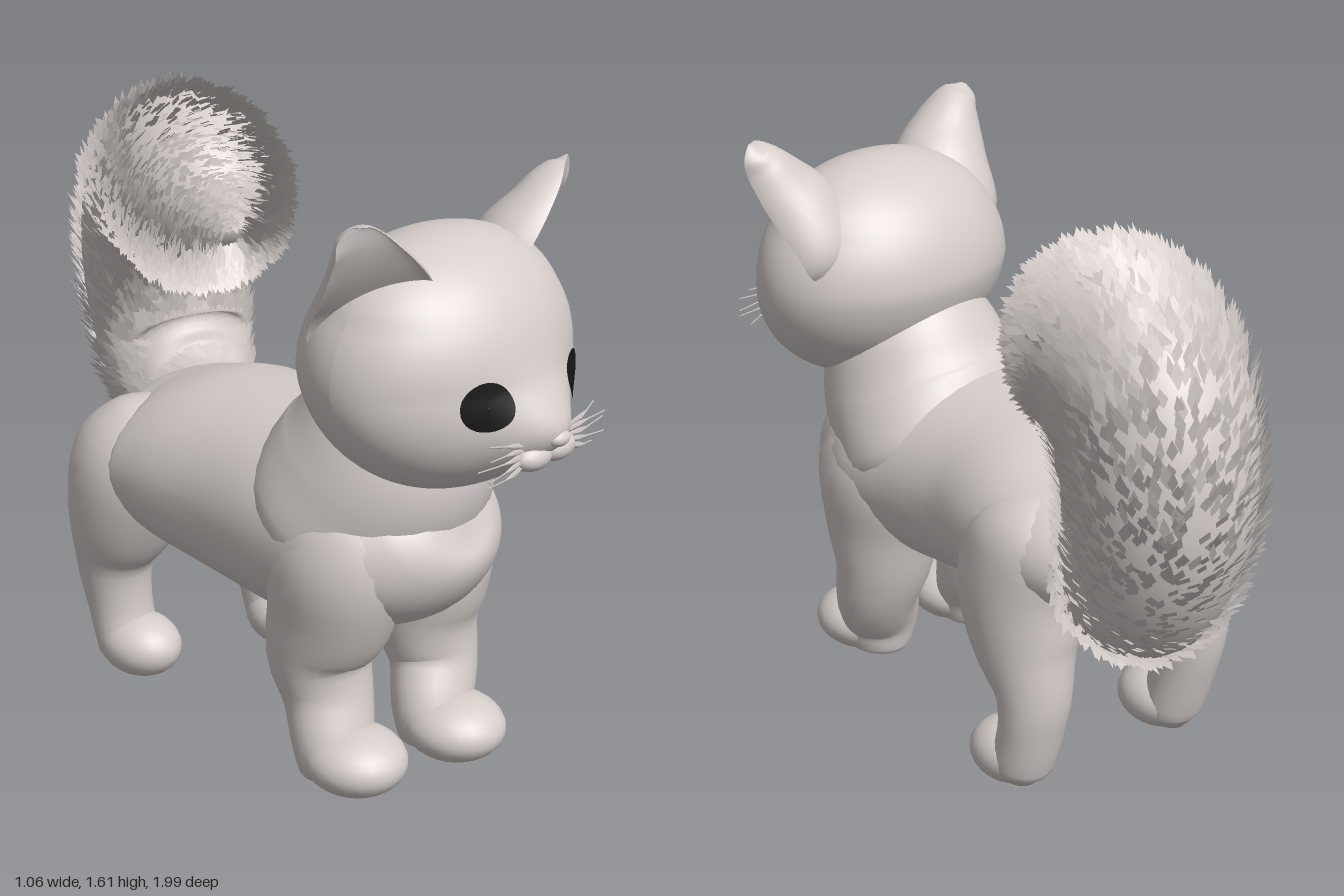
import * as THREE from 'three';

const V = (x, y, z) => new THREE.Vector3(x, y, z);
const X = V(1, 0, 0), Y = V(0, 1, 0);

const fur = new THREE.MeshStandardMaterial({ color: 0xd6cecb, side: THREE.DoubleSide });
fur.name = 'paleFur';
const black = new THREE.MeshStandardMaterial({ color: 0x161616 });
black.name = 'eyeBlack';

// Path through sections [x, y, z, sideRadius, depthRadius]; returns the frame at t
function makePath(sections, ref = X, turn = 0) {
  const centres = new THREE.CatmullRomCurve3(sections.map(s => V(s[0], s[1], s[2])));
  const radii = new THREE.CatmullRomCurve3(sections.map(s => V(s[3], s[4], 0)));
  return t => {
    const T = centres.getTangent(t), r = radii.getPoint(t);
    const S = ref.clone().addScaledVector(T, -ref.dot(T)).normalize().applyAxisAngle(T, turn);
    const U = T.clone().cross(S);
    return { c: centres.getPoint(t), T, S, U, a: Math.max(r.x, 0.002), b: Math.max(r.y, 0.002) };
  };
}

// Smooth closed skin of elliptical rings along a path
function loft(frameAt, rings, sides, bend = s => s) {
  const pos = [], idx = [];
  for (let i = 0; i <= rings; i++) {
    const f = frameAt(i / rings);
    for (let j = 0; j < sides; j++) {
      const w = j / sides * Math.PI * 2;
      const p = f.c.clone().addScaledVector(f.S, Math.cos(w) * f.a).addScaledVector(f.U, bend(Math.sin(w)) * f.b);
      pos.push(p.x, p.y, p.z);
      if (i === rings) continue;
      const a = i * sides + j, b = i * sides + (j + 1) % sides;
      idx.push(a, b, b + sides, a, b + sides, a + sides);
    }
  }
  const end = pos.length / 3;
  pos.push(...frameAt(0).c.toArray(), ...frameAt(1).c.toArray());
  for (let j = 0; j < sides; j++) {
    const k = (j + 1) % sides;
    idx.push(end, k, j, end + 1, rings * sides + j, rings * sides + k);
  }
  const g = new THREE.BufferGeometry();
  g.setAttribute('position', new THREE.Float32BufferAttribute(pos, 3));
  g.setIndex(idx);
  g.computeVertexNormals();
  return g;
}

// Maps a unit sphere direction onto the head: fuller crown, forward chin, muzzle bump
function headPoint(u) {
  const p = V(u.x * 0.39, u.y * 0.315, u.z * 0.3);
  p.x *= 1 + 0.25 * Math.max(0, u.y - 0.5);
  p.z += 0.05 * Math.max(0, -u.y);
  if (u.z > 0) {
    p.z *= 0.97 - 0.05 * u.x * u.x;
    const dx = (p.x - 0.02) / 0.13, dy = (p.y + 0.135) / 0.11;
    p.z += 0.095 * u.z * Math.exp(-dx * dx - dy * dy);
  }
  return p.add(V(-0.13, 1.195, 0.61));
}

function warp(geometry, rule) {
  const p = geometry.attributes.position;
  for (let i = 0; i < p.count; i++) {
    const v = rule(V().fromBufferAttribute(p, i));
    p.setXYZ(i, v.x, v.y, v.z);
  }
  geometry.computeVertexNormals();
  return geometry;
}

export function createModel() {
  const model = new THREE.Group();
  model.name = 'cat';
  const add = (name, geometry, material = fur) => {
    const m = new THREE.Mesh(geometry, material);
    m.name = name;
    model.add(m);
    return m;
  };
  const tube = (name, sections, rings = 28, sides = 28) => add(name, loft(makePath(sections), rings, sides));
  const ball = (name, c, r) => {
    const m = add(name, new THREE.SphereGeometry(1, 24, 16));
    m.position.set(...c);
    m.scale.set(...r);
    return m;
  };

  // Torso from rump to chest, then the neck
  tube('torso', [
    [-0.1, 0.67, -0.475, 0.03, 0.02], [-0.1, 0.67, -0.45, 0.2, 0.12], [-0.09, 0.67, -0.4, 0.28, 0.17],
    [-0.07, 0.68, -0.28, 0.335, 0.21], [-0.095, 0.69, -0.1, 0.33, 0.26],
    [-0.125, 0.69, 0.1, 0.31, 0.278], [-0.14, 0.69, 0.3, 0.32, 0.285],
    [-0.14, 0.695, 0.46, 0.325, 0.265], [-0.14, 0.72, 0.58, 0.28, 0.225],
    [-0.14, 0.755, 0.66, 0.2, 0.165], [-0.14, 0.78, 0.7, 0.11, 0.09], [-0.14, 0.785, 0.71, 0.01, 0.01],
  ], 60, 36);
  tube('neck', [
    [-0.14, 0.62, 0.29, 0.2, 0.16], [-0.14, 0.75, 0.385, 0.325, 0.275], [-0.14, 0.88, 0.465, 0.29, 0.275],
    [-0.135, 1.0, 0.51, 0.25, 0.24], [-0.13, 1.12, 0.56, 0.2, 0.2],
  ], 28, 36);

  // Legs and paws
  for (const [side, x, px, dz] of [['left', 0.025, -0.025, 0], ['right', -0.31, -0.335, -0.07]]) {
    const inner = x * 0.75 - 0.035;
    tube(side + 'FrontLeg', [
      [inner, 0.88, 0.44, 0.04, 0.05], [inner, 0.8, 0.445, 0.13, 0.16], [x, 0.67, 0.455, 0.165, 0.2],
      [x, 0.51, 0.465 + dz / 2, 0.152, 0.175], [x, 0.38, 0.465 + dz, 0.14, 0.138],
      [x, 0.26, 0.495 + dz, 0.122, 0.112], [px, 0.16, 0.535 + dz, 0.115, 0.1],
      [px, 0.08, 0.555 + dz, 0.1, 0.1], [px, 0.045, 0.56 + dz, 0.05, 0.05],
    ]);
    ball(side + 'FrontPaw', [px, 0.125, 0.61 + dz], [0.132, 0.087, 0.14]);
  }
  tube('leftHindLeg', [
    [0.02, 0.86, -0.2, 0.03, 0.04], [0.04, 0.8, -0.21, 0.13, 0.13], [0.09, 0.68, -0.2, 0.19, 0.21],
    [0.135, 0.55, -0.19, 0.162, 0.205], [0.175, 0.42, -0.225, 0.122, 0.165], [0.195, 0.3, -0.272, 0.1, 0.105],
    [0.2, 0.18, -0.265, 0.093, 0.085], [0.2, 0.08, -0.235, 0.09, 0.085], [0.2, 0.03, -0.225, 0.05, 0.05],
  ]);
  ball('leftHindPaw', [0.19, 0.095, -0.19], [0.108, 0.09, 0.122]);
  tube('rightHindLeg', [
    [-0.17, 0.84, -0.27, 0.03, 0.04], [-0.2, 0.78, -0.29, 0.13, 0.13], [-0.25, 0.66, -0.33, 0.17, 0.19],
    [-0.27, 0.5, -0.375, 0.145, 0.16], [-0.27, 0.37, -0.41, 0.105, 0.112], [-0.265, 0.22, -0.395, 0.09, 0.088],
    [-0.265, 0.11, -0.365, 0.09, 0.08], [-0.265, 0.06, -0.355, 0.05, 0.05],
  ]);
  ball('rightHindPaw', [-0.265, 0.125, -0.32], [0.105, 0.088, 0.125]);

  // Head and muzzle
  add('head', warp(new THREE.SphereGeometry(1, 64, 48), headPoint));
  ball('nose', [-0.11, 1.065, 0.965], [0.035, 0.022, 0.028]);
  for (const s of [-1, 1]) {
    const side = s > 0 ? 'left' : 'right';
    ball(side + 'WhiskerPad', [-0.11 + s * 0.045, 1.02, 0.925], [0.06, 0.036, 0.042]);

    // Eye plate following the curve of the face
    const ex = s > 0 ? 0.185 : -0.15, ey = s > 0 ? -0.04 : -0.025;
    add(side + 'Eye', warp(new THREE.RingGeometry(0.0005, 0.063, 28, 4), p => {
      const u = V((ex + p.x) / 0.39, (ey + p.y * 0.93) / 0.315, 0);
      u.z = Math.sqrt(1 - u.lengthSq());
      return headPoint(u).addScaledVector(V(u.x, u.y, u.z), 0.006);
    }), black);

    // Cupped ear, open to the front and slightly outward
    const e = (x, y, z, a, b) => [-0.115 + s * x, y, z, a, b];
    const ear = makePath([
      e(0.19, 1.2, 0.56, 0.08, 0.06), e(0.235, 1.31, 0.6, 0.165, 0.13), e(0.28, 1.4, 0.64, 0.145, 0.13),
      e(0.33, 1.48, 0.665, 0.11, 0.105), e(0.373, 1.55, 0.675, 0.072, 0.08),
      e(0.398, 1.59, 0.67, 0.045, 0.05), e(0.405, 1.61, 0.665, 0.008, 0.008),
    ], X, s * 0.55);
    add(side + 'Ear', loft(ear, 28, 28, v => (v < 0 ? -0.1 * v : v)));

    // Whiskers
    for (let i = 0; i < 5; i++) {
      const d = i - 2, y = 1.035 + d * 0.01;
      add(side + 'Whisker', loft(makePath([
        [-0.11 + s * 0.07, y, 0.93, 0.003, 0.003],
        [-0.11 + s * 0.14, y + d * 0.01, 0.935, 0.003, 0.003],
        [-0.11 + s * (0.24 - Math.abs(d) * 0.02), y + d * 0.016, 0.92 + (i % 2) * 0.02, 0.001, 0.001],
      ], Y), 5, 4));
    }
  }

  // Curled bushy tail lying in a slanted plane
  const tailPath = makePath([
    [-0.28, 0.77, 0.07, 0.07], [-0.38, 0.745, 0.1, 0.1], [-0.49, 0.73, 0.17, 0.165], [-0.62, 0.79, 0.21, 0.235],
    [-0.705, 1.0, 0.23, 0.255], [-0.665, 1.21, 0.24, 0.27], [-0.56, 1.305, 0.235, 0.26],
    [-0.45, 1.315, 0.225, 0.24], [-0.36, 1.295, 0.19, 0.2], [-0.29, 1.27, 0.13, 0.13], [-0.255, 1.255, 0.02, 0.02],
  ].map(([z, y, a, b]) => [0.1 + (-0.4 - z) * 0.42, y, z, a, b]), V(0.92, 0, 0.39));
  add('tail', loft(tailPath, 56, 36));

  // Pointed tufts sweeping towards the tail tip
  let seed = 7;
  const rnd = () => (seed = (seed * 16807) % 2147483647) / 2147483647;
  const tufts = [];
  for (let i = 0; i < 7000; i++) {
    const f = tailPath(0.1 + 0.89 * rnd()), w = rnd() * Math.PI * 2;
    const out = f.S.clone().multiplyScalar(Math.cos(w)).addScaledVector(f.U, Math.sin(w));
    const root = f.c.clone().addScaledVector(f.S, Math.cos(w) * f.a).addScaledVector(f.U, Math.sin(w) * f.b);
    const across = f.T.clone().cross(out).multiplyScalar(0.01 + 0.008 * rnd());
    const dir = f.T.clone().addScaledVector(out, 0.3 + 0.5 * rnd()).addScaledVector(across, 50 * (rnd() - 0.5));
    dir.normalize().multiplyScalar(0.05 + 0.035 * rnd());
    const mid = root.clone().addScaledVector(dir, 0.45), tip = root.clone().add(dir);
    const l = mid.clone().sub(across), r = mid.clone().add(across);
    for (const p of [root, l, tip, root, tip, r]) tufts.push(p.x, p.y, p.z);
  }
  const tuftGeometry = new THREE.BufferGeometry();
  tuftGeometry.setAttribute('position', new THREE.Float32BufferAttribute(tufts, 3));
  tuftGeometry.computeVertexNormals();
  add('tailTufts', tuftGeometry);

  return model;
}
